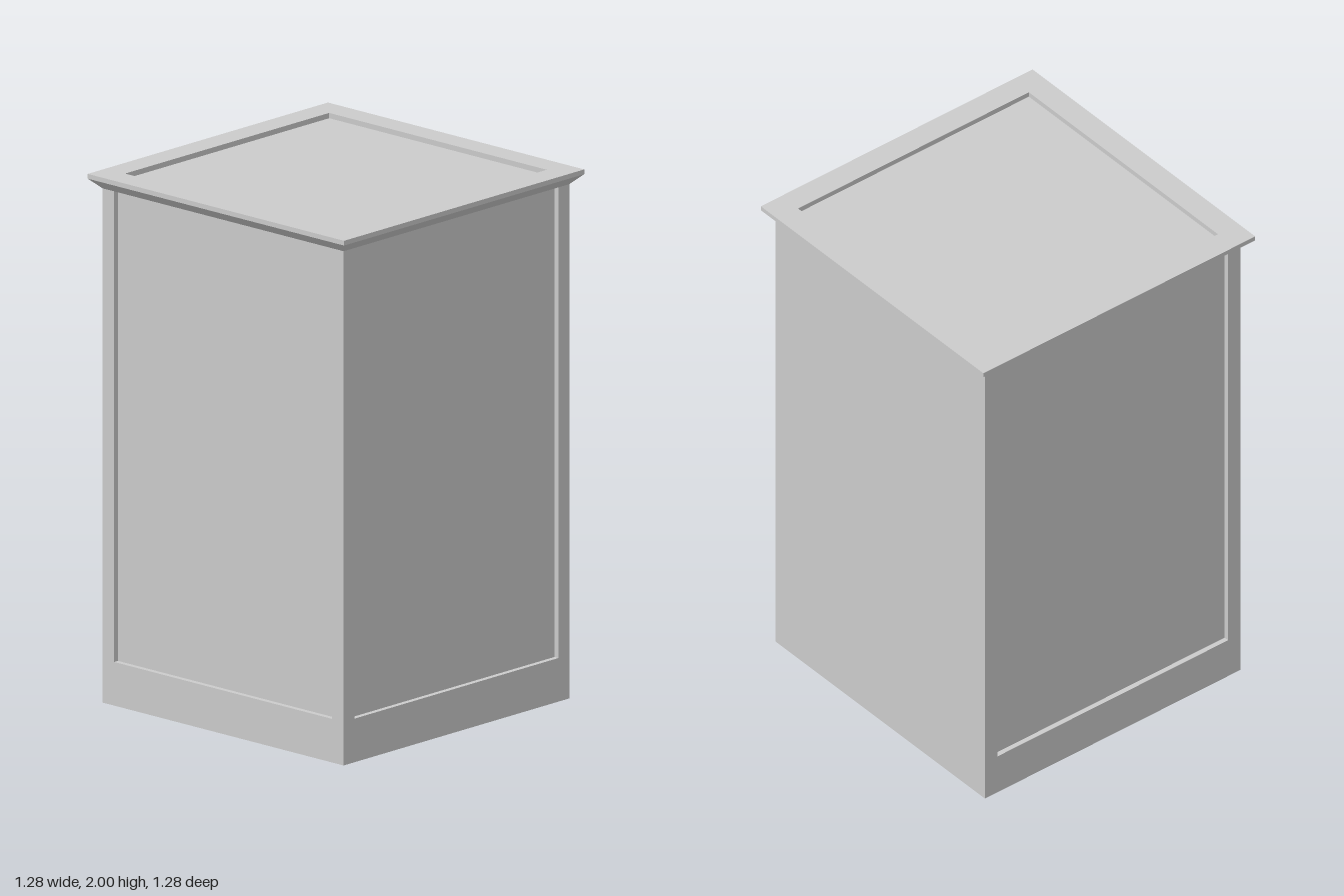
import * as THREE from 'three';

const HALF = 0.6;       // half width of the cabinet
const INNER = 0.542;    // half width of the recessed panels
const BODY_TOP = 1.945;
const RAIL = 0.165;     // height of the bottom rail
const DEPTH = 0.02;     // depth of the recesses

export function createModel() {
  const group = new THREE.Group();
  const material = new THREE.MeshStandardMaterial({ color: 0xcccccc, flatShading: true });

  const add = (name, geometry) => {
    const mesh = new THREE.Mesh(geometry, material);
    mesh.name = name;
    group.add(mesh);
    return mesh;
  };

  // U-shaped frame: two stiles and a bottom rail, open under the cornice
  const frame = (left, right) => {
    const outline = [
      [left, 0], [right, 0], [right, BODY_TOP], [INNER, BODY_TOP],
      [INNER, RAIL], [-INNER, RAIL], [-INNER, BODY_TOP], [left, BODY_TOP],
    ].map(([x, y]) => new THREE.Vector2(x, y));
    const geometry = new THREE.ExtrudeGeometry(new THREE.Shape(outline), { depth: DEPTH, bevelEnabled: false });
    return geometry.translate(0, 0, HALF - DEPTH);
  };

  // Core: its faces are the recessed panels and the plain back
  const core = new THREE.BoxGeometry(2 * (HALF - DEPTH), BODY_TOP, 2 * HALF - DEPTH);
  add('cabinetBody', core.translate(0, BODY_TOP / 2, -DEPTH / 2));

  // Frames on the front and both sides, butted at the front corners
  add('frontFrame', frame(-HALF, HALF));
  add('leftFrame', frame(-HALF + DEPTH, HALF)).rotation.y = Math.PI / 2;
  add('rightFrame', frame(-HALF, HALF - DEPTH)).rotation.y = -Math.PI / 2;

  // Flared square cornice with a sunken top panel
  const profile = [
    [0.5, BODY_TOP], [HALF, BODY_TOP], [0.638, 1.982], [0.638, 2],
    [INNER, 2], [INNER, 2 - DEPTH], [0, 2 - DEPTH],
  ].map(([r, y]) => new THREE.Vector2(r * Math.SQRT2, y));
  add('cornice', new THREE.LatheGeometry(profile, 4, Math.PI / 4));

  return group;
}
